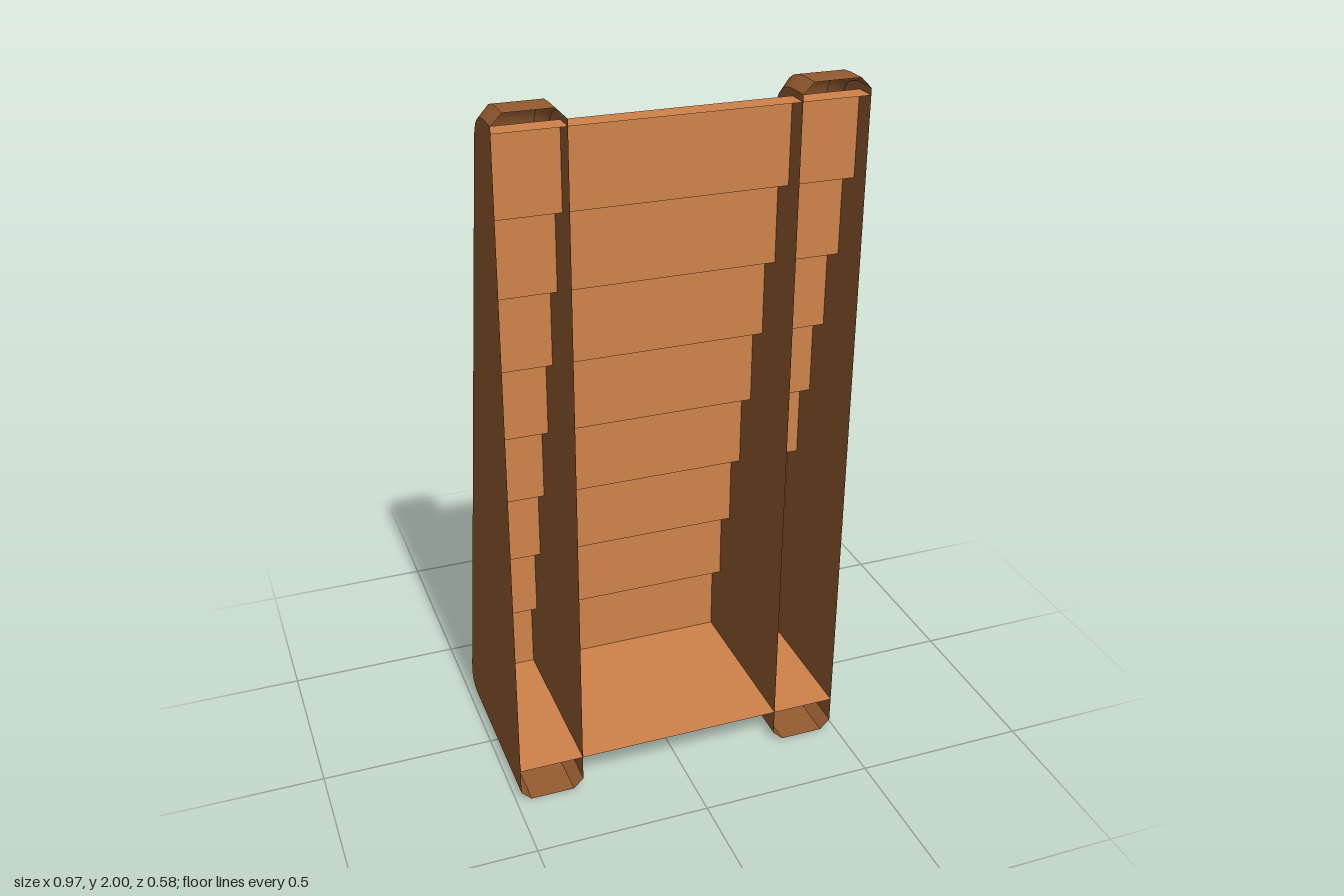
import * as THREE from 'three';

const FRONT = 0.29, HALF = 0.485, INNER = 0.3, BEVEL = 0.029;

const mat = (name, color) => {
  const m = new THREE.MeshStandardMaterial({ color, side: THREE.DoubleSide });
  m.name = name;
  return m;
};

// Side outline as (z, y) points, shrunk by d; open along the front edge
function outline(d) {
  const slope = y => -0.311 + 0.2167 * y + 1.02 * d;
  const V = (z, y) => new THREE.Vector2(z, y);
  const bend = (a, b, c) => new THREE.QuadraticBezierCurve(a, b, c).getPoints(6);
  return [
    V(FRONT, d), V(0.03, d), V(-0.14, d),
    ...bend(V(-0.204 + 0.3 * d, d), V(slope(d), d), V(slope(0.103), 0.103)),
    V(slope(0.73), 0.73), V(slope(1.58), 1.58),
    ...bend(V(slope(1.9), 1.9), V(slope(2 - d), 2 - d), V(0.23, 2 - d)),
    V(FRONT, 2 - d),
  ];
}

// Strip joining outline a at x = xa to outline b at x = xb.
// Pieces behind splitZ take material 0, the others material 1.
function strip(a, xa, b, xb, splitZ) {
  const pos = [], index = [];
  const geo = new THREE.BufferGeometry();
  a.forEach((p, i) => pos.push(xa, p.y, p.x, xb, b[i].y, b[i].x));
  for (let i = 0; i < a.length - 1; i++) {
    const k = 2 * i;
    index.push(k, k + 2, k + 1, k + 1, k + 2, k + 3);
    geo.addGroup(6 * i, 6, (a[i].x + a[i + 1].x) / 2 < splitZ ? 0 : 1);
  }
  geo.setAttribute('position', new THREE.Float32BufferAttribute(pos, 3));
  geo.setIndex(index);
  geo.computeVertexNormals();
  return geo;
}

// Flat side wall facing +x (dir 1) or -x (dir -1)
function wall(points, dir) {
  const shape = new THREE.Shape(points.map(p => new THREE.Vector2(-dir * p.x, p.y)));
  return new THREE.ShapeGeometry(shape).rotateY(dir * Math.PI / 2);
}

export function createModel() {
  const light = mat('light wood', 0xd0834a);
  const dark = mat('dark wood', 0x965c31);
  const model = new THREE.Group();
  model.name = 'staircase';
  const add = (parent, name, geo, material, x = 0) => {
    const mesh = new THREE.Mesh(geo, material);
    mesh.name = name;
    mesh.position.x = x;
    parent.add(mesh);
  };

  // Hollow side rails with bevelled edges, open at the front
  const outer = outline(0), inset = outline(BEVEL);
  const w = (HALF - INNER) / 2, c = (HALF + INNER) / 2;
  for (const s of [-1, 1]) {
    const rail = new THREE.Group();
    rail.name = s > 0 ? 'leftRail' : 'rightRail';
    rail.position.x = s * c;
    add(rail, 'railEdge', strip(outer, -w + BEVEL, outer, w - BEVEL, 0.03), [light, dark]);
    add(rail, 'railBevelRight', strip(inset, -w, outer, -w + BEVEL, -0.145), [light, dark]);
    add(rail, 'railBevelLeft', strip(outer, w - BEVEL, inset, w, -0.145), [light, dark]);
    for (const dir of [-1, 1]) add(rail, 'railWall', wall(inset, dir), dark, dir * w);
    model.add(rail);
  }

  // Steps: underside, then eight risers and treads climbing to the front
  const n = 8, y0 = 0.105, rise = (1.953 - y0) / n, z0 = -0.211, run = (FRONT - z0) / n;
  const profile = [new THREE.Vector2(FRONT, y0)];
  for (let i = 0; i < n; i++) {
    profile.push(new THREE.Vector2(z0 + i * run, y0 + i * rise));
    profile.push(new THREE.Vector2(z0 + i * run, y0 + (i + 1) * rise));
  }
  profile.push(new THREE.Vector2(FRONT, y0 + n * rise));
  const steps = strip(profile, -HALF, profile, HALF, 0).toNonIndexed();
  steps.clearGroups();
  steps.computeVertexNormals();
  add(model, 'steps', steps, light);

  return model;
}
